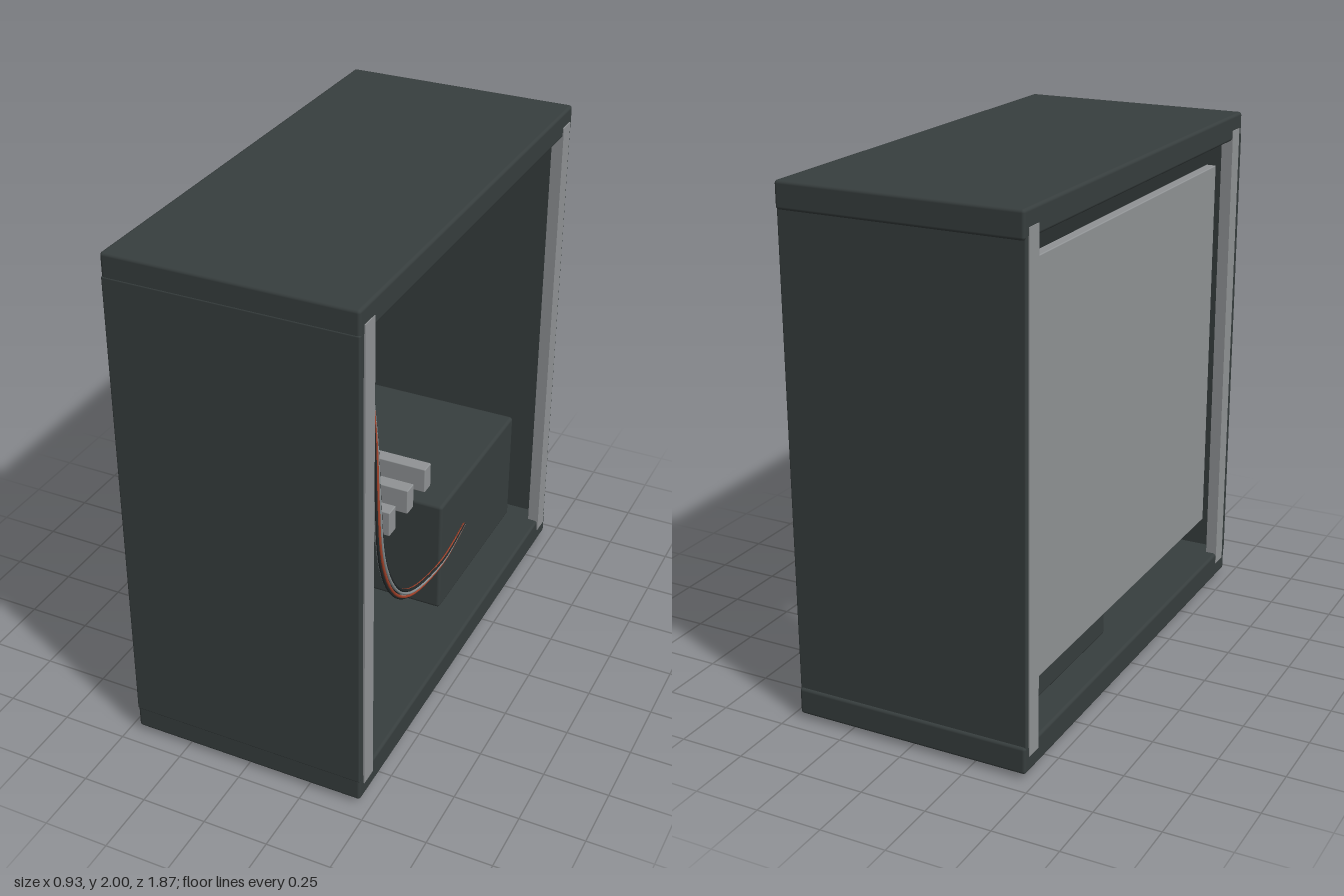
import * as THREE from 'three';
import { RoundedBoxGeometry } from 'three/addons/geometries/RoundedBoxGeometry.js';

const mat = (name, color) => {
  const m = new THREE.MeshStandardMaterial({ color });
  m.name = name;
  return m;
};

export function createModel() {
  const root = new THREE.Group();
  root.name = 'computerTower';

  const shell = mat('charcoal', 0x373e3e);
  const metal = mat('light grey metal', 0x909395);
  const green = mat('board green', 0x385a4b);
  const black = mat('wire black', 0x24292a);
  const orange = mat('wire red', 0xa8452c);
  const silver = mat('wire grey', 0x8b9294);

  // Box given by its min and max on each axis, with optional rounded edges
  function box(name, material, [x0, x1], [y0, y1], [z0, z1], r = 0) {
    const w = x1 - x0, h = y1 - y0, d = z1 - z0;
    const geo = r ? new RoundedBoxGeometry(w, h, d, 2, r) : new THREE.BoxGeometry(w, h, d);
    const mesh = new THREE.Mesh(geo, material);
    mesh.name = name;
    mesh.position.set((x0 + x1) / 2, (y0 + y1) / 2, (z0 + z1) / 2);
    root.add(mesh);
  }

  // Outer shell, open at both sides
  const wide = [-0.463, 0.461];
  box('topCap', shell, wide, [1.9, 2], [-0.935, 0.935], 0.012);
  box('bottomCap', shell, wide, [0.02, 0.125], [-0.935, 0.935], 0.012);
  box('frontPanel', shell, wide, [0.105, 1.915], [0.905, 0.937], 0.006);
  box('backPanel', shell, wide, [0.105, 1.915], [-0.926, -0.905], 0.006);

  // Corner posts and feet
  for (const s of [-1, 1]) {
    const z = s > 0 ? [0.835, 0.905] : [-0.907, -0.837];
    box('leftCornerPost', metal, [0.42, 0.465], [0.08, 1.94], z);
    box('rightCornerPost', metal, [-0.465, -0.42], [0.08, 1.94], z);
    box('foot', shell, [-0.36, 0.35], [0, 0.03], s > 0 ? [0.51, 0.66] : [-0.66, -0.51], 0.006);
  }

  // Internal parts
  box('mountingTray', metal, [-0.42, -0.38], [0.3, 1.81], [-0.78, 0.78], 0.004);
  box('mainBoard', green, [-0.38, -0.325], [0.61, 1.72], [-0.715, 0.535]);
  box('powerSupply', shell, [-0.36, 0.33], [0.14, 0.63], [-0.825, -0.07], 0.014);
  for (const z of [0.447, 0.292, 0.137]) {
    box('expansionCard', metal, [-0.33, 0.355], [0.85, 0.95], [z - 0.027, z + 0.027], 0.004);
  }

  // Cable loom: strands fan out in the middle and pinch together at both ends
  const path = new THREE.CatmullRomCurve3([
    [0.315, 1.48, 0.54], [0.325, 1.28, 0.528], [0.335, 0.95, 0.523], [0.335, 0.76, 0.495],
    [0.33, 0.57, 0.4], [0.32, 0.43, 0.25], [0.32, 0.37, 0.1], [0.34, 0.38, -0.08], [0.338, 0.42, -0.29],
  ].map((p) => new THREE.Vector3(...p)));
  const loom = new THREE.Group();
  loom.name = 'cableLoom';
  root.add(loom);
  const colours = [black, orange, silver, black, orange, black, silver];
  const side = new THREE.Vector3(1, 0, 0);
  colours.forEach((material, i) => {
    const a = (i / colours.length) * Math.PI * 2;
    const points = [];
    for (let k = 0; k <= 16; k++) {
      const t = k / 16;
      const spread = 0.002 + 0.016 * Math.sin(Math.PI * t) ** 1.3;
      const normal = path.getTangentAt(t).cross(side).normalize();
      points.push(path.getPointAt(t)
        .addScaledVector(normal, Math.cos(a) * spread)
        .addScaledVector(side, Math.sin(a) * spread * 0.5));
    }
    const wire = new THREE.Mesh(
      new THREE.TubeGeometry(new THREE.CatmullRomCurve3(points), 36, 0.0055, 6), material);
    wire.name = 'wire';
    loom.add(wire);
  });

  return root;
}
